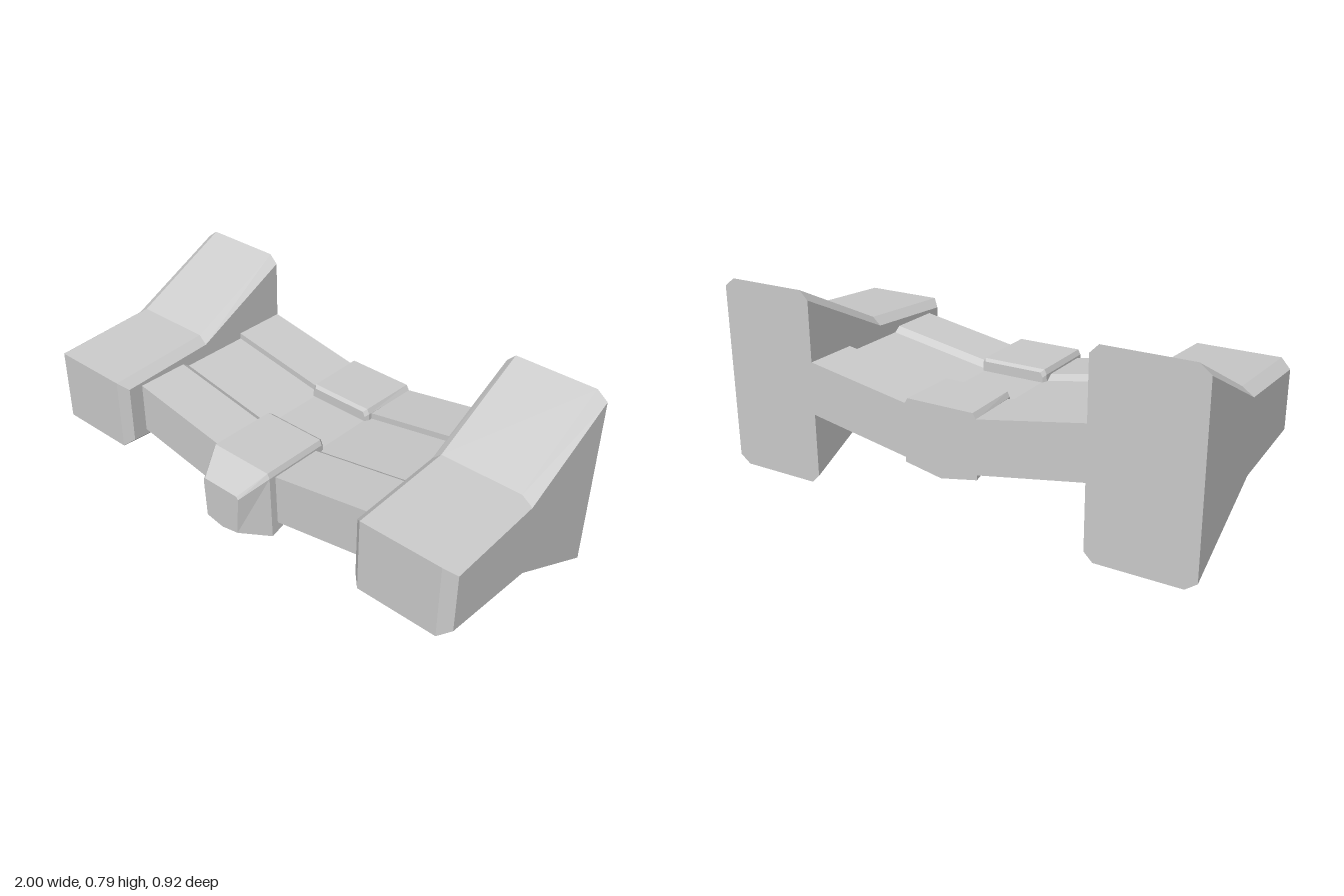
import * as THREE from 'three';

const material = new THREE.MeshStandardMaterial({ color: 0xcccccc, flatShading: true });
const smooth = new THREE.MeshStandardMaterial({ color: 0xcccccc });

// Skins a series of closed 2D sections; place(a, b, t) turns a section point into 3D.
function loft(name, stations, place) {
  const out = [];
  const rings = stations.map(s => s.points.map(([a, b]) => new THREE.Vector3(...place(a, b, s.at))));
  const n = rings[0].length;
  const tri = (a, b, c) => out.push([a, b, c]);
  for (let i = 0; i + 1 < rings.length; i++) {
    for (let j = 0; j < n; j++) {
      const k = (j + 1) % n, p = rings[i], q = rings[i + 1];
      tri(p[j], p[k], q[k]);
      tri(p[j], q[k], q[j]);
    }
  }
  // End caps
  [0, rings.length - 1].forEach((r, end) => {
    const flat = stations[r].points.map(p => new THREE.Vector2(...p));
    const ccw = !THREE.ShapeUtils.isClockWise(flat);
    for (const [a, b, c] of THREE.ShapeUtils.triangulateShape(flat, [])) {
      const [u, v, w] = [flat[a], flat[b], flat[c]];
      const triCcw = (v.x - u.x) * (w.y - u.y) - (v.y - u.y) * (w.x - u.x) > 0;
      const keep = (triCcw === ccw) === (end === 1);
      keep ? tri(rings[r][a], rings[r][b], rings[r][c]) : tri(rings[r][a], rings[r][c], rings[r][b]);
    }
  });
  // Turn the skin outward
  const volume = out.reduce((s, [a, b, c]) => s + a.dot(b.clone().cross(c)), 0);
  const points = out.flatMap(([a, b, c]) => (volume > 0 ? [a, b, c] : [a, c, b]));
  const geometry = new THREE.BufferGeometry().setFromPoints(points);
  geometry.computeVertexNormals();
  const mesh = new THREE.Mesh(geometry, material);
  mesh.name = name;
  return mesh;
}

// Half-hexagonal boss section: chamfered top and a shallow V underneath
const bossSection = (topW, sideW, lowW, top, bottom, chamfer, vee) => [
  [-topW, top], [topW, top], [sideW, top - chamfer],
  [lowW, bottom + vee], [0, bottom], [-lowW, bottom + vee], [-sideW, top - chamfer],
];

export function createModel() {
  const model = new THREE.Group();

  // Flared end blocks, chamfered along both side faces (z, y)
  const full = [[0.415, 0.547], [-0.03, 0.575], [-0.46, 0.79], [-0.46, 0.003], [-0.03, 0.22], [0.415, 0.247]];
  const inset = [[0.383, 0.517], [-0.03, 0.543], [-0.46, 0.755], [-0.46, 0.037], [-0.03, 0.25], [0.383, 0.277]];
  for (const side of [1, -1]) {
    model.add(loft(side > 0 ? 'leftEndBlock' : 'rightEndBlock', [
      { at: 0.585, points: inset }, { at: 0.62, points: full },
      { at: 0.955, points: full }, { at: 1, points: inset },
    ], (z, y, x) => [side * x, y, z]));
  }

  // Cross beam: front and rear bars joined by a thinner web, sagging to the middle
  const beam = [
    [0.32, 0.425], [0.1, 0.425], [0.07, 0.405], [-0.23, 0.405], [-0.23, 0.43], [-0.46, 0.43],
    [-0.46, 0.215], [-0.23, 0.275], [-0.21, 0.32], [0.05, 0.32], [0.07, 0.275], [0.32, 0.215],
  ];
  const raised = beam.map(([z, y]) => [z, y + 0.088]);
  model.add(loft('crossBeam', [
    { at: -0.62, points: raised }, { at: -0.13, points: beam },
    { at: 0.13, points: beam }, { at: 0.62, points: raised },
  ], (z, y, x) => [x, y, z]));

  // Middle bosses
  const place = (x, y, z) => [x, y, z];
  model.add(loft('frontBoss', [
    { at: 0.05, points: bossSection(0.125, 0.135, 0.14, 0.445, 0.232, 0.02, 0.035) },
    { at: 0.065, points: bossSection(0.135, 0.145, 0.15, 0.455, 0.227, 0.02, 0.037) },
    { at: 0.35, points: bossSection(0.135, 0.145, 0.155, 0.455, 0.133, 0.02, 0.037) },
    { at: 0.46, points: bossSection(0.082, 0.09, 0.08, 0.385, 0.198, 0.012, 0.015) },
  ], place));
  model.add(loft('rearBoss', [
    { at: -0.46, points: bossSection(0.14, 0.155, 0.155, 0.455, 0.17, 0.025, 0.03) },
    { at: -0.215, points: bossSection(0.135, 0.145, 0.15, 0.455, 0.235, 0.02, 0.03) },
    { at: -0.2, points: bossSection(0.125, 0.135, 0.14, 0.445, 0.245, 0.02, 0.03) },
  ], place));

  // Round domes under both bars
  const dome = new THREE.SphereGeometry(0.065, 14, 8);
  for (const [bar, z] of [['front', 0.2], ['rear', -0.34]]) {
    for (const side of [1, -1]) {
      for (const x of [0.28, 0.485]) {
        const mesh = new THREE.Mesh(dome, smooth);
        mesh.name = bar + 'Dome';
        mesh.position.set(side * x, 0.275 + (x - 0.28) * 0.18, z);
        model.add(mesh);
      }
    }
  }
  return model;
}
